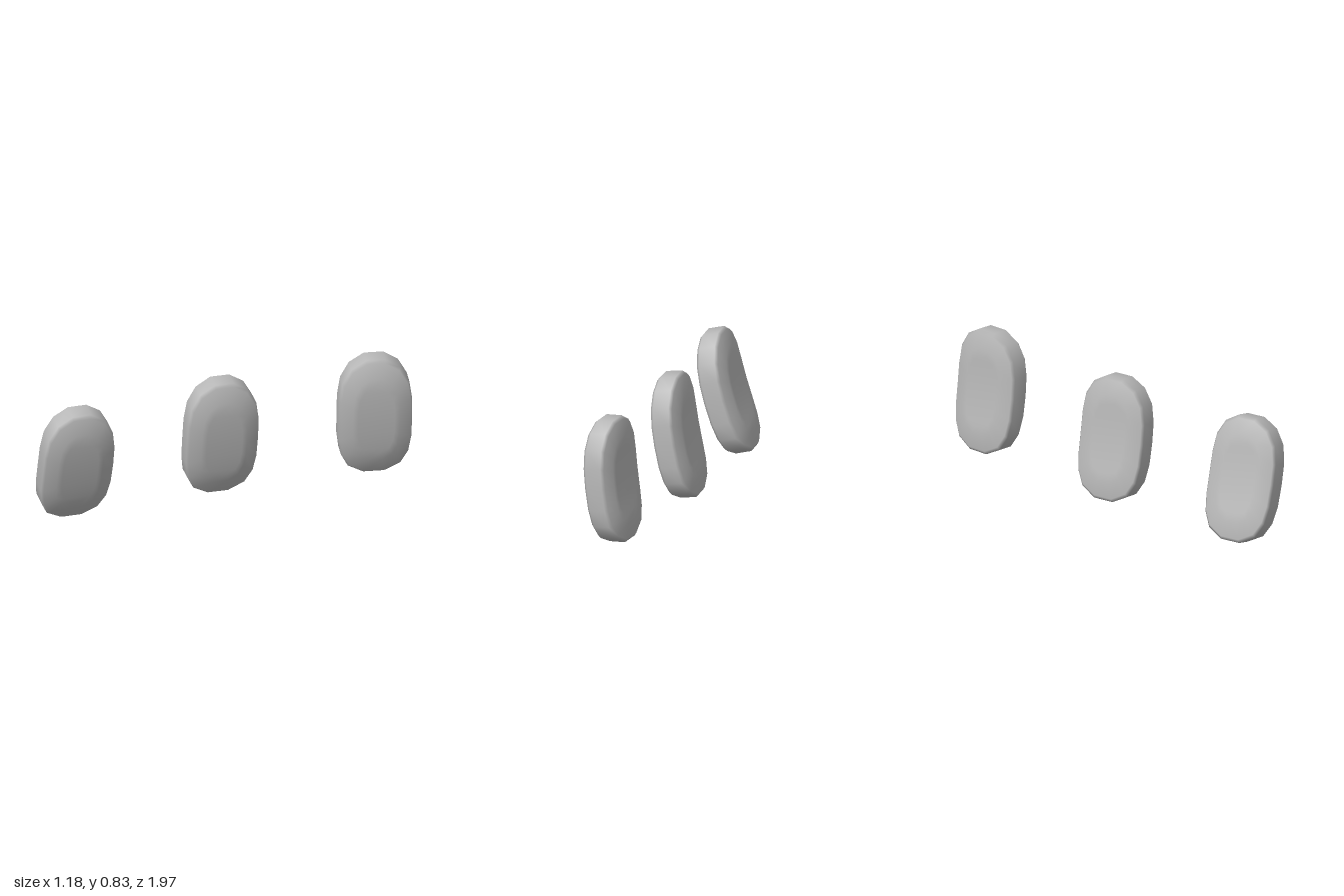
import * as THREE from 'three';

const rad = THREE.MathUtils.degToRad;

// Right half of the rounded outline, bottom to top
const half = [[0.06, -0.36], [0.15, -0.31], [0.192, -0.23], [0.207, -0.13], [0.209, 0], [0.207, 0.12],
  [0.19, 0.225], [0.14, 0.31], [0.055, 0.36]];
const outline = [...half, ...half.slice().reverse().map(([x, y]) => [-x, y])];

// Cross-sections from back face to front face: [depth, width inset, height inset]
const rings = [[-0.088, 0.5, 0.58], [-0.084, 0.62, 0.7], [-0.062, 0.94, 0.95], [-0.045, 1, 1],
  [0.05, 1, 1], [0.066, 0.95, 0.96], [0.086, 0.64, 0.72], [0.09, 0.5, 0.58]];

// Gentle lengthwise bow towards the front
const bow = (y) => 0.03 * (1 - (y / 0.36) ** 2) - 0.015;

function padGeometry() {
  const pos = [], idx = [], n = outline.length;
  for (const [d, sx, sy] of rings)
    for (const [x, y] of outline) pos.push(x * sx, y * sy, d + bow(y * sy));
  for (let r = 0; r < rings.length - 1; r++)
    for (let i = 0; i < n; i++) {
      const a = r * n + i, b = r * n + (i + 1) % n;
      idx.push(a, b, b + n, a, b + n, a + n);
    }
  // Close both faces with strips across the width
  const last = (rings.length - 1) * n;
  for (let i = 0; i < half.length - 1; i++) {
    const a = i, b = i + 1, c = n - 1 - i, d = n - 2 - i;
    idx.push(a, d, b, a, c, d);
    idx.push(last + a, last + b, last + d, last + a, last + d, last + c);
  }
  const g = new THREE.BufferGeometry();
  g.setAttribute('position', new THREE.Float32BufferAttribute(pos, 3));
  g.setIndex(idx);
  g.computeVertexNormals();
  return g;
}

export function createModel() {
  const group = new THREE.Group();
  const grey = new THREE.MeshStandardMaterial({ color: 0xb8b8b8 });
  grey.name = 'light grey';
  const geometry = padGeometry();

  // Three pads in a row: name, position, turn and lean in degrees
  const pads = [
    ['frontPad', [-0.4, 0.37, 0.767], 66.5, 16],
    ['middlePad', [-0.043, 0.425, -0.012], 64.5, 10],
    ['rearPad', [0.407, 0.48, -0.78], 56.5, 6.5],
  ];
  for (const [name, position, turn, lean] of pads) {
    const pad = new THREE.Mesh(geometry, grey);
    pad.name = name;
    pad.position.set(...position);
    pad.rotation.set(rad(lean), rad(turn), 0, 'YXZ');
    group.add(pad);
  }
  return group;
}
